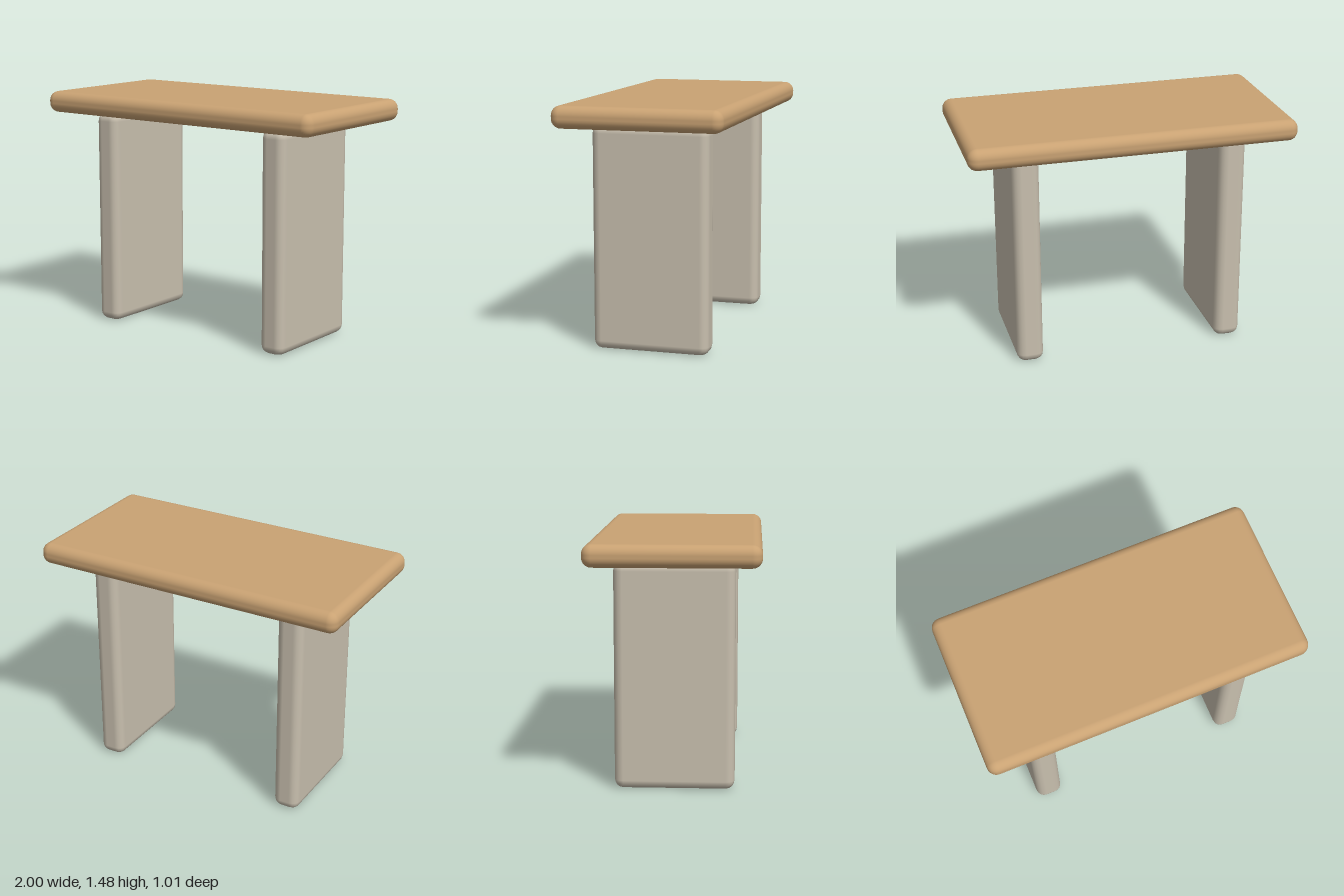
import * as THREE from 'three';
import { RoundedBoxGeometry } from 'three/addons/geometries/RoundedBoxGeometry.js';

export function createModel() {
  const wood = new THREE.MeshStandardMaterial({ name: 'warm wood', color: 0xc9a273 });
  const stone = new THREE.MeshStandardMaterial({ name: 'pale stone', color: 0xc8bfae });

  const table = new THREE.Group();
  table.name = 'table';

  // Rounded slab spanning the full length
  const top = new THREE.Mesh(new RoundedBoxGeometry(2, 0.133, 1.013, 4, 0.058), wood);
  top.name = 'tableTop';
  top.position.y = 1.413;
  table.add(top);

  // Two upright slab legs, mirrored left and right
  const legHeight = 1.35;
  const legGeometry = new RoundedBoxGeometry(0.165, legHeight, 0.71, 2, 0.053);
  for (const [name, side] of [['leftLeg', 1], ['rightLeg', -1]]) {
    const leg = new THREE.Mesh(legGeometry, stone);
    leg.name = name;
    leg.position.set(side * 0.64, legHeight / 2, 0);
    table.add(leg);
  }

  return table;
}
